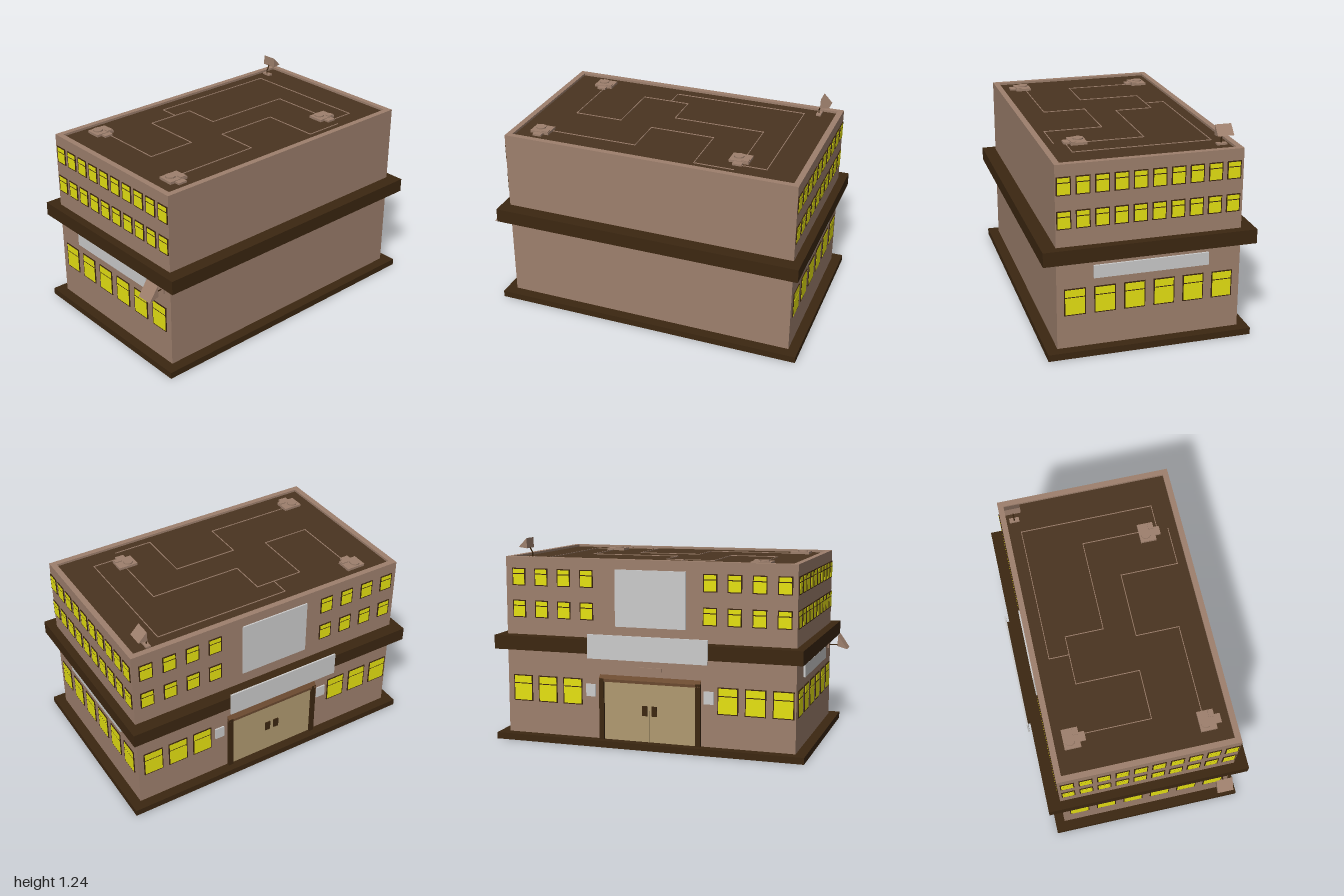
import * as THREE from 'three';

const mat = (color, extra = {}) => new THREE.MeshStandardMaterial({ color, ...extra });
const M = {
  wall: mat(0x9e806d, { side: THREE.DoubleSide }),
  trim: mat(0x3c2711),
  roof: mat(0x4a3420),
  glass: mat(0xe6e212),
  door: mat(0xb09a70),
  grey: mat(0xcccccc),
  hood: mat(0x6b4a30),
};

// Outer wall limits
const X0 = -0.868, X1 = 0.94, Z0 = -0.53, Z1 = 0.55;
const CX = (X0 + X1) / 2, CZ = (Z0 + Z1) / 2;

function add(parent, name, geometry, material, x = 0, y = 0, z = 0) {
  const m = new THREE.Mesh(geometry, material);
  m.name = name;
  m.position.set(x, y, z);
  parent.add(m);
  return m;
}

const box = (parent, name, material, w, h, d, x, y, z) =>
  add(parent, name, new THREE.BoxGeometry(w, h, d), material, x, y, z);

// Rectangular ring around the building, from y0 to y1
function ring(parent, name, material, [x0, x1, z0, z1], [a0, a1, b0, b1], y0, y1) {
  const rect = (T, l, r, b, t) => new T([
    new THREE.Vector2(l, b), new THREE.Vector2(r, b), new THREE.Vector2(r, t), new THREE.Vector2(l, t)]);
  const s = rect(THREE.Shape, x0, x1, -z1, -z0);
  s.holes.push(rect(THREE.Path, a0, a1, -b1, -b0));
  const g = new THREE.ExtrudeGeometry(s, { depth: y1 - y0, bevelEnabled: false });
  g.rotateX(-Math.PI / 2);
  add(parent, name, g, material, 0, y0, 0);
}
const inset = (d) => [X0 + d, X1 - d, Z0 + d, Z1 - d];

// Thin rod between two points
function rod(parent, name, a, b, r, material) {
  const curve = new THREE.LineCurve3(new THREE.Vector3(...a), new THREE.Vector3(...b));
  add(parent, name, new THREE.TubeGeometry(curve, 1, r, 6), material);
}

// Framed window with a short upper and a tall lower pane, on a wall facing local +z
function windowUnit(wall, u, y0, y1, w) {
  const g = new THREE.Group(), h = y1 - y0, e = 0.006, split = y0 + h * 0.68;
  g.name = 'window';
  g.position.x = u;
  wall.add(g);
  box(g, 'windowFrame', M.trim, w, h, 0.01, 0, (y0 + y1) / 2, 0);
  for (const [a, b] of [[y0 + e, split - e / 2], [split + e / 2, y1 - e]])
    box(g, 'pane', M.glass, w - 2 * e, b - a, 0.004, 0, (a + b) / 2, 0.004);
}

function wallGroup(parent, name, x, z, angle) {
  const g = new THREE.Group();
  g.name = name;
  g.position.set(x, 0, z);
  g.rotation.y = angle;
  parent.add(g);
  return g;
}

// Wedge-shaped dish: triangular profile extruded along z
function dish(parent, name, pts, z, width) {
  const s = new THREE.Shape(pts.map(([x, y]) => new THREE.Vector2(x, y)));
  const g = new THREE.ExtrudeGeometry(s, { depth: width, bevelEnabled: false });
  add(parent, name, g, M.wall, 0, 0, z - width / 2);
}

export function createModel() {
  const model = new THREE.Group();
  model.name = 'building';

  // Shell, plinth, ledge and roof
  ring(model, 'walls', M.wall, inset(0), inset(0.004), 0.01, 1.12);
  ring(model, 'parapet', M.wall, inset(0), inset(0.035), 1.1, 1.13);
  ring(model, 'plinth', M.trim, [-0.93, 1, -0.59, 0.615], inset(0.01), 0, 0.04);
  ring(model, 'ledge', M.trim, [-0.92, 0.99, -0.61, 0.633], inset(0.06), 0.57, 0.655);
  box(model, 'roofDeck', M.roof, X1 - X0 - 0.03, 0.01, Z1 - Z0 - 0.03, CX, 1.111, CZ);

  // Side walls: two rows of small windows, one of large ones, and a sign board
  for (const s of [1, -1]) {
    const wall = wallGroup(model, s > 0 ? 'rightWall' : 'leftWall', s > 0 ? X1 : X0, 0, s * Math.PI / 2);
    for (let i = 0; i < 10; i++)
      for (const y of [0.76, 0.955]) windowUnit(wall, -s * (0.503 - i * 0.1085), y, y + 0.106, 0.082);
    for (let i = 0; i < 6; i++) windowUnit(wall, -s * (0.446 - i * 0.1736), 0.24, 0.402, 0.124);
    box(wall, 'signBoard', M.grey, 0.675, 0.076, 0.024, 0, 0.492, 0);
  }

  // Back wall: windows either side of the entrance
  const back = wallGroup(model, 'backWall', 0, Z0, Math.PI);
  for (const [upper, lower] of [[0.855, 0.84], [-0.355, -0.465]]) {
    for (let i = 0; i < 4; i++)
      for (const y of [0.76, 0.955]) windowUnit(back, -(upper - i * 0.147), y, y + 0.106, 0.085);
    for (let i = 0; i < 3; i++) windowUnit(back, -(lower - i * 0.165), 0.24, 0.402, 0.125);
  }
  box(back, 'largePanel', M.grey, 0.44, 0.34, 0.014, -0.01, 0.9, 0.002);
  box(back, 'entranceSign', M.grey, 0.74, 0.145, 0.01, 0, 0.62, 0.1);
  box(back, 'signBracket', M.trim, 0.68, 0.05, 0.02, -0.01, 0.615, 0.086);

  // Entrance doors, frame with sloping hood, handles and lamp
  for (const s of [1, -1]) {
    box(back, 'door', M.door, 0.288, 0.365, 0.01, -0.015 + s * 0.1445, 0.222, 0);
    box(back, 'doorJamb', M.trim, 0.03, 0.375, 0.024, -0.015 + s * 0.302, 0.227, 0.008);
    box(back, 'doorHandle', M.trim, 0.034, 0.06, 0.008, -0.015 + s * 0.03, 0.23, 0.008);
    box(back, 'wallPlate', M.grey, 0.06, 0.075, 0.014, -0.02 + s * 0.37, 0.335, 0.002);
  }
  const hood = new THREE.Shape([[-0.004, 0.395], [0.02, 0.395], [0.02, 0.412], [0, 0.435], [-0.004, 0.435]]
    .map(([a, b]) => new THREE.Vector2(a, b)));
  const hoodGeo = new THREE.ExtrudeGeometry(hood, { depth: 0.634, bevelEnabled: false });
  hoodGeo.rotateY(-Math.PI / 2);
  add(back, 'doorHood', hoodGeo, M.hood, 0.302, 0, 0);
  box(back, 'entranceLamp', M.wall, 0.15, 0.022, 0.016, -0.015, 0.48, 0);

  // Rooftop ventilation units
  for (const [x, z] of [[-0.63, -0.395], [-0.697, 0.385], [0.54, 0.325]]) {
    const g = new THREE.Group();
    g.name = 'roofUnit';
    g.position.set(x, 1.115, z);
    model.add(g);
    box(g, 'unitBody', M.wall, 0.12, 0.016, 0.096, 0, 0.008, 0);
    box(g, 'unitDuct', M.wall, 0.055, 0.013, 0.036, 0, 0.006, 0.064);
    box(g, 'unitCap', M.wall, 0.042, 0.022, 0.03, 0.035, 0.011, 0.03);
    add(g, 'unitFan', new THREE.CylinderGeometry(0.03, 0.03, 0.024, 12), M.wall, -0.015, 0.012, -0.01);
  }

  // Roof pipes linking the units
  const pipes = [
    [[-0.615, -0.31], [-0.615, 0.08], [-0.315, 0.08], [-0.315, -0.3], [-0.015, -0.3], [-0.015, -0.07], [0.555, -0.07], [0.555, 0.28]],
    [[-0.64, 0.37], [-0.1, 0.37], [-0.1, 0.11], [0.3, 0.11], [0.3, 0.46], [0.54, 0.46]],
    [[-0.13, -0.3], [-0.13, -0.42], [0.715, -0.42], [0.715, 0.395], [0.56, 0.395]],
  ];
  for (const p of pipes)
    for (let i = 1; i < p.length; i++) {
      const [a, b] = p[i - 1], [c, d] = p[i];
      box(model, 'roofPipe', M.wall, Math.abs(c - a) + 0.004, 0.004, Math.abs(d - b) + 0.004,
        (a + c) / 2, 1.118, (b + d) / 2);
    }

  // Rooftop dish and wall dish
  box(model, 'dishBase', M.wall, 0.03, 0.012, 0.06, 0.803, 1.12, -0.447);
  rod(model, 'dishPole', [0.8, 1.115, -0.447], [0.8, 1.152, -0.447], 0.004, M.trim);
  rod(model, 'dishArm', [0.8, 1.15, -0.447], [0.822, 1.19, -0.447], 0.004, M.trim);
  dish(model, 'roofDish', [[0.815, 1.178], [0.87, 1.185], [0.817, 1.24]], -0.447, 0.096);
  box(model, 'wallDishMount', M.wall, 0.012, 0.04, 0.04, X0 - 0.004, 0.515, 0.48);
  rod(model, 'wallDishArm', [X0, 0.518, 0.48], [-0.945, 0.518, 0.48], 0.004, M.trim);
  dish(model, 'wallDish', [[-1, 0.5], [-0.937, 0.518], [-0.94, 0.588]], 0.48, 0.1);

  return model;
}
